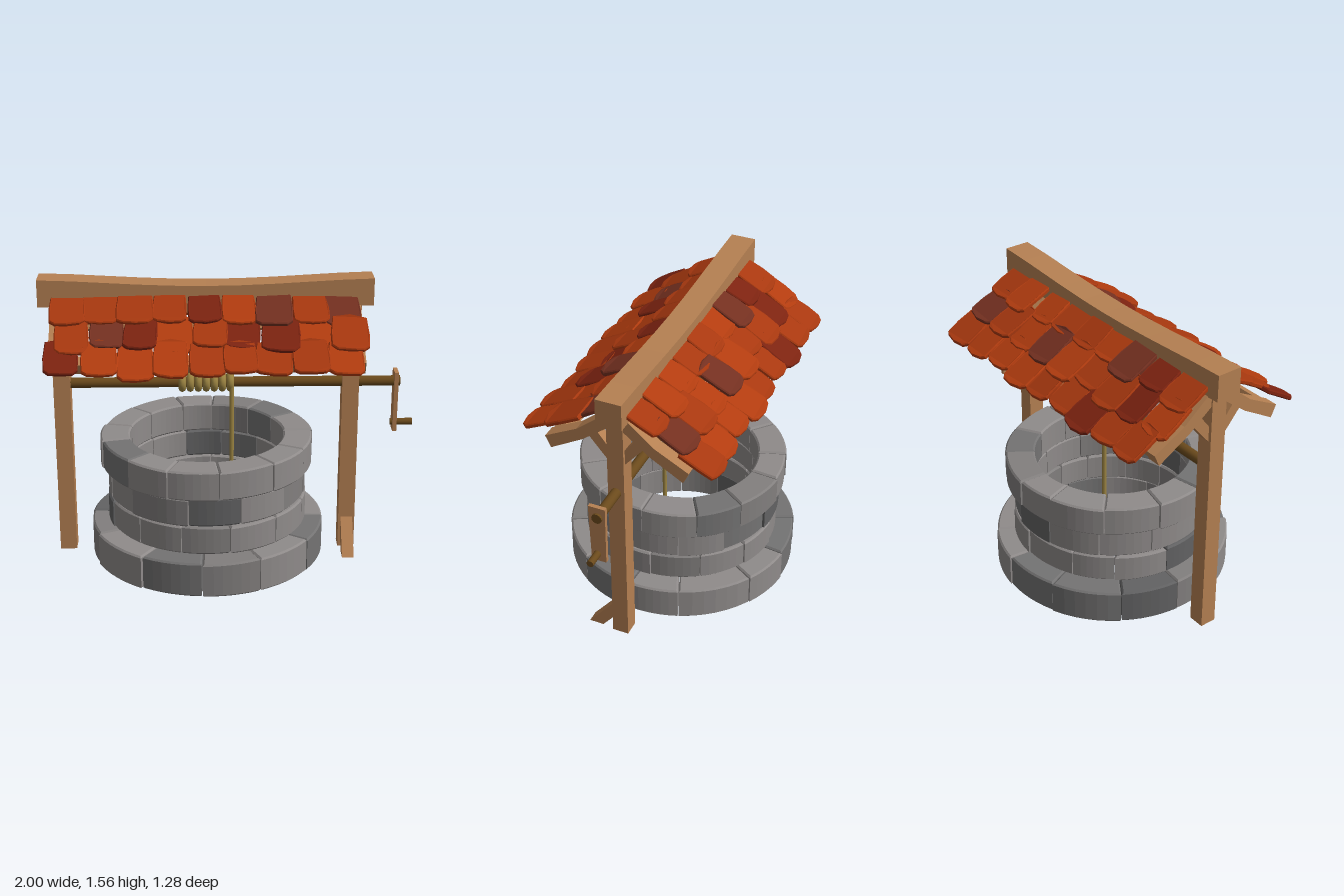
import * as THREE from 'three';

const CX = -0.12, CZ = 0.01; // middle of the well along x, and of the timber frame along z
const flat = (color) => new THREE.MeshStandardMaterial({ color, flatShading: true });
const smooth = (color) => new THREE.MeshStandardMaterial({ color });
const wood = flat(0xb58052), rodWood = smooth(0x6b4a1c), ropeMat = smooth(0x9c8442);
const stones = [0x8f8b8a, 0x827f7e, 0x747373, 0x626263].map(flat);
const tiles = [0xb23c0f, 0xa8380f, 0x7d2310, 0x743020].map(flat);

let seed = 7;
const rand = () => (seed = (seed * 16807) % 2147483647) / 2147483647;
const jitter = (a) => (rand() * 2 - 1) * a;

function add(parent, name, geometry, material, x = 0, y = 0, z = 0) {
  const mesh = new THREE.Mesh(geometry, material);
  mesh.name = name;
  mesh.position.set(x, y, z);
  parent.add(mesh);
  return mesh;
}

function bend(geometry, rule) {
  const p = geometry.attributes.position, v = new THREE.Vector3();
  for (let i = 0; i < p.count; i++) {
    rule(v.fromBufferAttribute(p, i));
    p.setXYZ(i, v.x, v.y, v.z);
  }
  geometry.computeVertexNormals();
  return geometry;
}

// Timber cut from a side outline of [z, y] points, given a width along x
function timber(points, width, side = 1) {
  const shape = new THREE.Shape(points.map(([z, y]) => new THREE.Vector2(z * side, y)));
  const g = new THREE.ExtrudeGeometry(shape, { depth: width, bevelEnabled: false });
  return g.translate(0, 0, -width / 2).rotateY(-Math.PI / 2);
}

// One wedge-shaped stone with softened edges and a slightly uneven top
function stoneBlock(inner, outer, angle, height) {
  const b = 0.009, half = angle / 2 - 0.004;
  const trim = (r) => half - b / r;
  const shape = new THREE.Shape();
  shape.absarc(0, 0, outer - b, -trim(outer), trim(outer), false);
  shape.absarc(0, 0, inner + b, trim(inner), -trim(inner), true);
  const g = new THREE.ExtrudeGeometry(shape, {
    depth: height - 2 * b, bevelThickness: b, bevelSize: b, bevelSegments: 1, curveSegments: 3,
  });
  g.translate(0, 0, b).rotateX(-Math.PI / 2);
  const slope = jitter(0.03);
  return bend(g, (v) => { if (v.y > height / 2) v.y += v.z * slope; });
}

function ring(name, inner, outer, y, height, count, turn) {
  const group = new THREE.Group();
  group.name = name;
  const edges = Array.from({ length: count }, (_, i) => ((i + jitter(0.13)) / count) * Math.PI * 2);
  for (let i = 0; i < count; i++) {
    const a = edges[i], b = i + 1 < count ? edges[i + 1] : edges[0] + Math.PI * 2;
    const shade = stones[Math.floor(rand() * rand() * 4)];
    const block = add(group, 'stone', stoneBlock(inner, outer + jitter(0.006), b - a, height), shade);
    block.rotation.y = (a + b) / 2 + turn;
  }
  group.position.set(CX, y, 0);
  return group;
}

// Roof tile hanging down from its top edge, with a rounded, slightly curled lower end
function tileGeometry(w, length) {
  const h = w / 2, l = -length, s = new THREE.Shape();
  s.moveTo(-h * 0.9, 0);
  s.lineTo(-h, l * 0.5);
  s.lineTo(-h * 0.97, l * 0.86);
  s.lineTo(-h * 0.7, l * (0.95 + jitter(0.02)));
  s.lineTo(0, l);
  s.lineTo(h * 0.7, l * (0.96 + jitter(0.02)));
  s.lineTo(h * 0.97, l * 0.86);
  s.lineTo(h, l * 0.5);
  s.lineTo(h * 0.9, 0);
  s.lineTo(0, 0.012);
  const g = new THREE.ExtrudeGeometry(s, {
    depth: 0.014, bevelThickness: 0.005, bevelSize: 0.005, bevelSegments: 1,
  });
  return bend(g, (v) => { v.z -= 1.3 * v.x * v.x + 0.4 * (v.y / length + 0.5) ** 2 * 0.05; });
}

function roofSide(name) {
  const side = new THREE.Group();
  side.name = name;
  // top z, top y, bottom z, bottom y of each course
  const rows = [[0.33, 1.30, 0.52, 1.195], [0.19, 1.39, 0.38, 1.285], [0.05, 1.475, 0.235, 1.375]];
  rows.forEach(([z0, y0, z1, y1], r) => {
    const count = 9, pitch = 1.62 / count, length = Math.hypot(z1 - z0, y1 - y0);
    for (let i = 0; i < count; i++) {
      const x = (i - (count - 1) / 2) * pitch + (r === 1 ? 0.02 : -0.01) + jitter(0.01);
      const dark = rand() < (r === 1 ? 0.4 : 0.14);
      const mat = tiles[(dark ? 2 : 0) + Math.floor(rand() * 2)];
      const g = tileGeometry(pitch * (1 + jitter(0.08)), length * (1.02 + jitter(0.1)));
      const tile = add(side, 'roofTile', g, mat, x, y0 + jitter(0.008), z0 + jitter(0.008));
      tile.rotation.set(-Math.atan2(z1 - z0, y0 - y1) + jitter(0.06), jitter(0.05), jitter(0.06), 'XYZ');
    }
  });
  side.position.set(CX, 0, CZ);
  return side;
}

function cylinderX(r, x0, x1, sides = 14) {
  return new THREE.CylinderGeometry(r, r, x1 - x0, sides).rotateZ(Math.PI / 2).translate((x0 + x1) / 2, 0, 0);
}

export function createModel() {
  const model = new THREE.Group();
  model.name = 'well';

  // Stone wall
  model.add(ring('baseRing', 0.45, 0.64, 0, 0.19, 12, 0.44));
  model.add(ring('lowerRing', 0.43, 0.54, 0.197, 0.155, 13, 0.1));
  model.add(ring('middleRing', 0.43, 0.54, 0.357, 0.155, 12, 0.3));
  model.add(ring('topRing', 0.42, 0.575, 0.517, 0.162, 13, 0.02));

  // Posts, rafters and braces at both ends
  const rafter = [[0.02, 1.37], [0.18, 1.245], [0.36, 1.14], [0.39, 1.205], [0.21, 1.30], [0.03, 1.45]];
  const brace = [[0.03, 1.13], [0.16, 1.285], [0.115, 1.325], [0.03, 1.215]];
  const purlin = [[0.358, 1.147], [0.384, 1.2], [0.325, 1.23], [0.3, 1.177]];
  for (const x of [-0.895, 0.655]) {
    add(model, 'post', new THREE.BoxGeometry(0.09, 1.43, 0.09), wood, x, 0.715, CZ);
    for (const s of [1, -1]) {
      add(model, 'rafter', timber(rafter, 0.075, s), wood, x, 0, CZ);
      add(model, 'rafterBrace', timber(brace, 0.055, s), wood, x, 0, CZ);
    }
  }
  for (const s of [1, -1]) add(model, 'eavePurlin', timber(purlin, 1.5, s), wood, CX, 0, CZ);
  add(model, 'footBrace', timber([[0.03, 0.1], [0.11, 0], [0.19, 0], [0.03, 0.2]], 0.065), wood, 0.655, 0, CZ);

  // Sagging ridge beam
  const ridge = bend(new THREE.BoxGeometry(1.76, 0.145, 0.14, 10, 1, 1), (v) => {
    v.y -= 0.035 * Math.cos((v.x / 0.88) * Math.PI / 2) ** 1.5;
  });
  add(model, 'ridgeBeam', ridge, wood, CX, 1.487, CZ);

  // Roof tiles
  model.add(roofSide('frontRoof'));
  const back = roofSide('backRoof');
  back.rotation.y = Math.PI;
  model.add(back);

  // Winch: axle, coiled rope, crank
  add(model, 'axle', cylinderX(0.028, -0.88, 0.925), rodWood, 0, 0.97, CZ);
  for (let i = 0; i < 7; i++) {
    const coil = new THREE.TorusGeometry(0.037, 0.021, 8, 18).rotateY(Math.PI / 2);
    add(model, 'ropeCoil', coil, ropeMat, -0.25 + i * 0.043, 0.973, CZ);
  }
  add(model, 'hangingRope', new THREE.CylinderGeometry(0.012, 0.012, 0.89, 8), ropeMat, 0.015, 0.525, CZ + 0.04);
  const arm = [[-0.04, 0.69], [0.04, 0.69], [0.05, 1.03], [-0.042, 1.03]];
  add(model, 'crankArm', timber(arm, 0.022), wood, 0.902, 0, CZ);
  add(model, 'crankHandle', cylinderX(0.019, 0.88, 1), rodWood, 0, 0.735, CZ + 0.007);

  return model;
}
